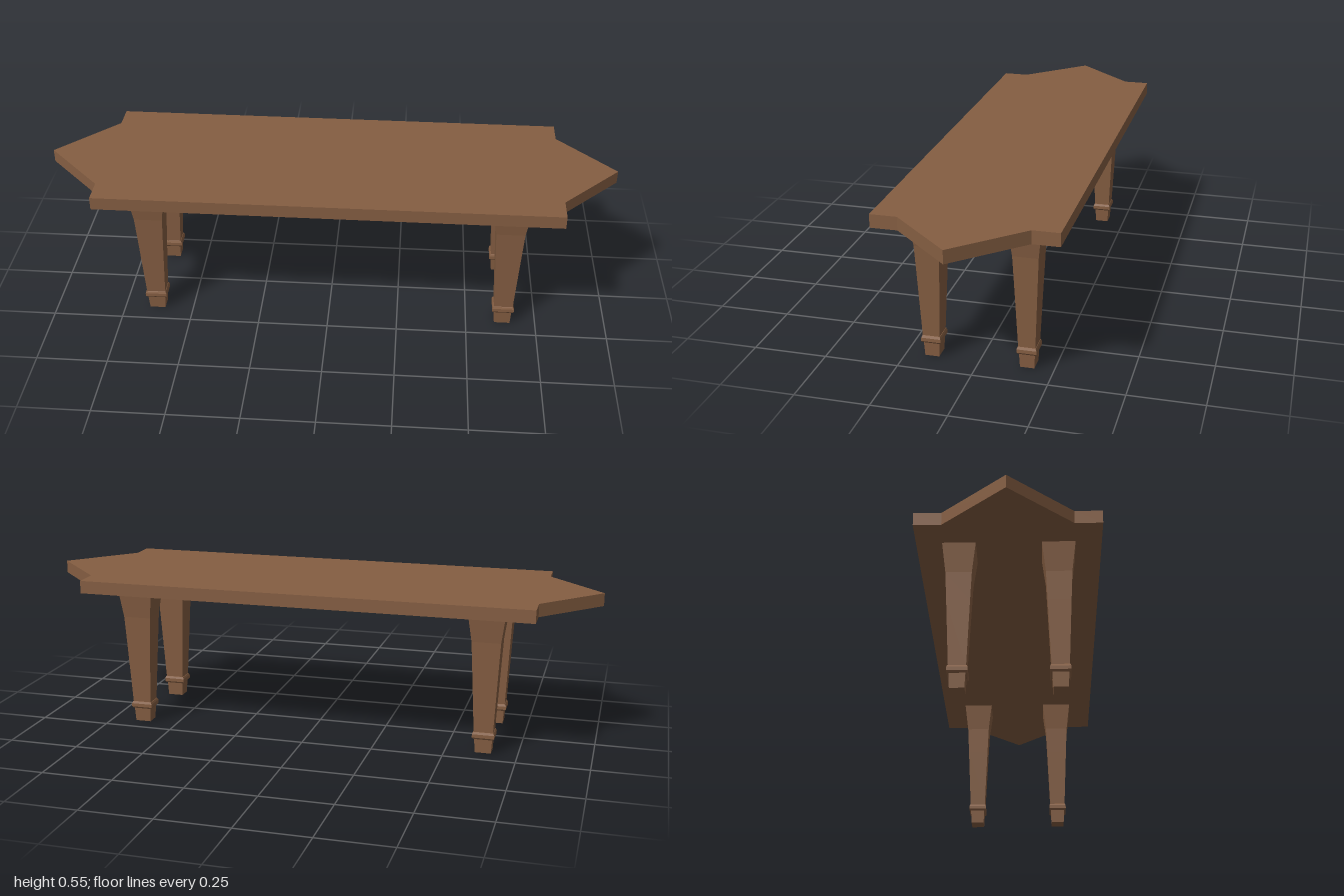
import * as THREE from 'three';

const wood = new THREE.MeshStandardMaterial({ color: 0x855e42 });
wood.name = 'brown wood';

// Square leg profile: [half depth, height], from the foot up
const LEG_PROFILE = [
  [0, 0], [0.024, 0], [0.0265, 0.05],
  [0.029, 0.05], [0.033, 0.056], [0.033, 0.068], [0.030, 0.075], // collar
  [0.0285, 0.076], [0.038, 0.3], [0.0425, 0.4], [0.0545, 0.502], [0, 0.502],
];
const LEG_X = 0.631, LEG_Z = 0.161;
const LEG_WIDTH_RATIO = 1.17; // legs are slightly wider than deep

// Four-sided lathe gives a square section; unshared corners keep it faceted
function legGeometry() {
  const points = LEG_PROFILE.map(([h, y]) => new THREE.Vector2(h * Math.SQRT2, y));
  const geometry = new THREE.LatheGeometry(points, 4, Math.PI / 4).toNonIndexed();
  geometry.scale(LEG_WIDTH_RATIO, 1, 1);
  geometry.computeVertexNormals();
  return geometry;
}

// Long board with notched corners and pointed ends
function topGeometry() {
  const outline = [
    [1, 0], [0.8, 0.21], [0.8, 0.3], [-0.8, 0.3], [-0.8, 0.21],
    [-1, 0], [-0.8, -0.21], [-0.8, -0.3], [0.8, -0.3], [0.8, -0.21],
  ];
  const shape = new THREE.Shape(outline.map(([x, z]) => new THREE.Vector2(x, z)));
  const geometry = new THREE.ExtrudeGeometry(shape, { depth: 0.045, bevelEnabled: false });
  geometry.rotateX(-Math.PI / 2);
  geometry.translate(0, 0.502, 0);
  return geometry;
}

export function createModel() {
  const model = new THREE.Group();
  model.name = 'table';

  const top = new THREE.Mesh(topGeometry(), wood);
  top.name = 'tabletop';
  model.add(top);

  // Four matching legs
  const geometry = legGeometry();
  for (const [zName, z] of [['front', LEG_Z], ['back', -LEG_Z]]) {
    for (const [xName, x] of [['Left', LEG_X], ['Right', -LEG_X]]) {
      const leg = new THREE.Mesh(geometry, wood);
      leg.name = `${zName}${xName}Leg`;
      leg.position.set(x, 0, z);
      model.add(leg);
    }
  }
  return model;
}
